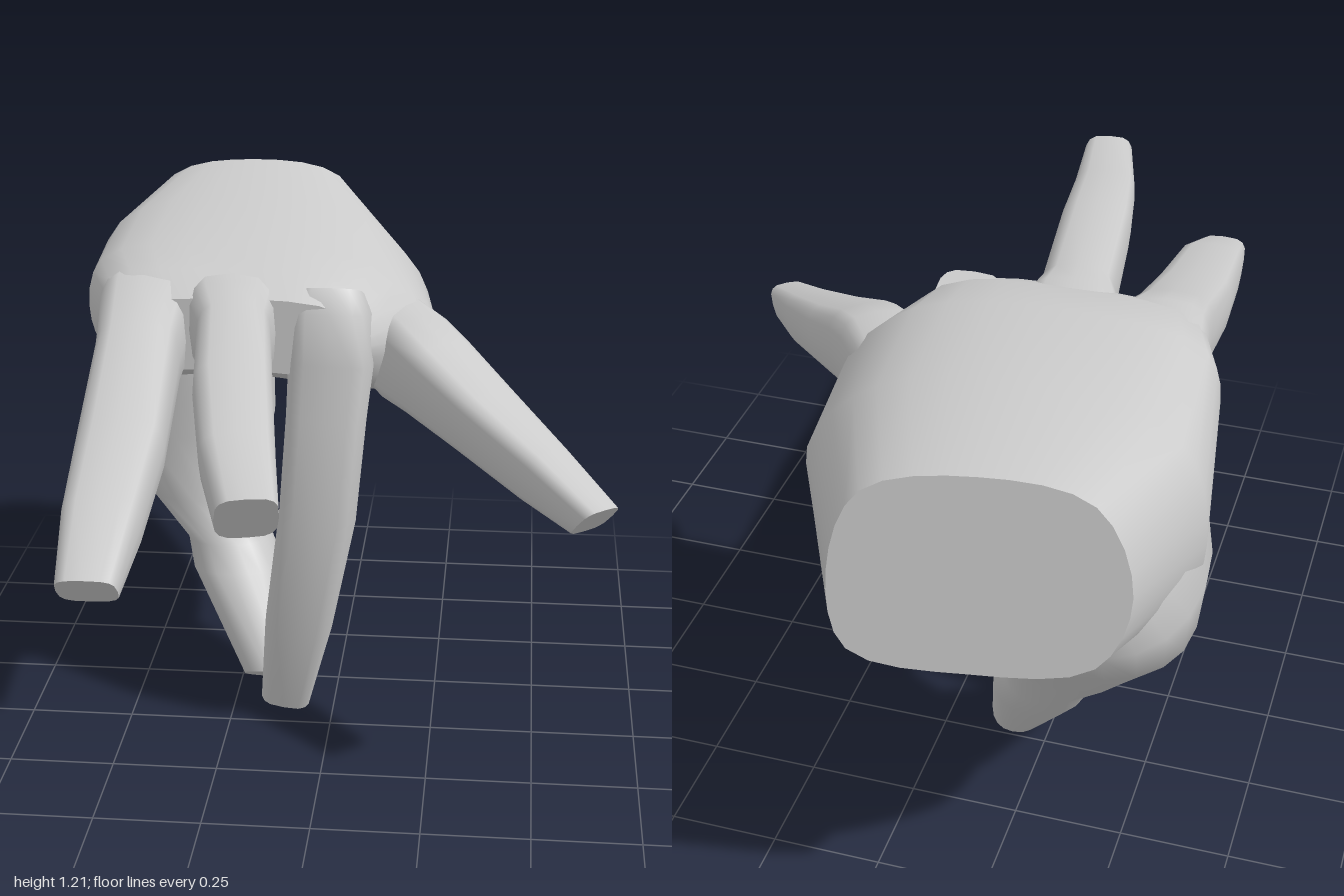
import * as THREE from 'three';

const V = (x, y, z) => new THREE.Vector3(x, y, z);
const material = new THREE.MeshStandardMaterial({ color: 0xcccccc });

// Skin a list of equal-length rings; end caps get their own vertices so their edges stay sharp.
function loft(name, rings) {
  const n = rings[0].length, pts = rings.flat(), index = [];
  for (let i = 0; i < rings.length - 1; i++) {
    for (let j = 0; j < n; j++) {
      const a = i * n + j, b = i * n + (j + 1) % n;
      index.push(a, b, a + n, b, b + n, a + n);
    }
  }
  for (const [ring, flip] of [[rings[0], true], [rings.at(-1), false]]) {
    const o = pts.length;
    pts.push(...ring);
    for (let j = 1; j < n - 1; j++) {
      index.push(o, flip ? o + j + 1 : o + j, flip ? o + j : o + j + 1);
    }
  }
  const g = new THREE.BufferGeometry().setFromPoints(pts);
  g.setIndex(index);
  g.computeVertexNormals();
  const mesh = new THREE.Mesh(g, material);
  mesh.name = name;
  return mesh;
}

// Point on a rounded square, for boxy round sections.
function rounded(k, n, power) {
  const a = (k / n) * Math.PI * 2, c = Math.cos(a), s = Math.sin(a);
  const f = (v) => Math.sign(v) * Math.abs(v) ** (2 / power);
  return [f(c), f(s)];
}

// Finger along stations [x, y, z, width, thickness]; the tip is cut on a slant.
function finger(name, stations, sideways) {
  const n = 16, centres = stations.map(([x, y, z]) => V(x, y, z));
  const rings = stations.map(([, , , w, h], i) => {
    const t = centres[Math.min(i + 1, centres.length - 1)].clone()
      .sub(centres[Math.max(i - 1, 0)]).normalize();
    const side = sideways.clone().addScaledVector(t, -sideways.dot(t)).normalize();
    const up = t.clone().cross(side);
    const slant = i === stations.length - 1 ? 0.5 : 0;
    return Array.from({ length: n }, (_, k) => {
      const [u, v] = rounded(k, n, 3.4);
      return centres[i].clone().addScaledVector(side, u * w / 2)
        .addScaledVector(up, v * h / 2).addScaledVector(t, v * h / 2 * slant);
    });
  });
  return loft(name, rings);
}

// Palm outlines from wrist to knuckles, eight points each, counterclockwise from the front.
function palm() {
  const wristZ = (x, y) => -0.93 - 0.14 * (x + 0.29) + 0.15 * (y - 1);
  const sections = [
    [wristZ, [[-0.58, 1], [-0.52, 0.84], [-0.28, 0.8], [-0.04, 0.83],
      [0, 1], [-0.06, 1.17], [-0.28, 1.22], [-0.5, 1.18]]],
    [() => -0.55, [[-0.655, 0.9], [-0.6, 0.75], [-0.2, 0.82], [0.16, 0.81],
      [0.2, 0.97], [0.04, 1.15], [-0.28, 1.21], [-0.59, 1.13]]],
    [() => -0.2, [[-0.6, 0.98], [-0.53, 0.87], [-0.15, 0.87], [0.21, 0.83],
      [0.25, 0.95], [0.08, 1.13], [-0.28, 1.185], [-0.57, 1.13]]],
    [() => -0.06, [[-0.55, 1.01], [-0.49, 0.91], [-0.2, 0.9], [0.08, 0.89],
      [0.14, 0.99], [0.06, 1.115], [-0.25, 1.155], [-0.52, 1.12]]],
    [() => 0.03, [[-0.5, 1.01], [-0.45, 0.95], [-0.2, 0.94], [0.02, 0.94],
      [0.07, 1], [0.03, 1.08], [-0.25, 1.11], [-0.47, 1.08]]],
  ];
  return loft('palm', sections.map(([zAt, outline]) => {
    const curve = new THREE.CatmullRomCurve3(
      outline.map(([x, y]) => V(x, y, zAt(x, y))), true, 'centripetal');
    return curve.getPoints(32).slice(0, 32);
  }));
}

// Thumb and its fleshy base: level sections [y, xMin, xMax, zMin, zMax, tilt].
function thumb() {
  const n = 20;
  const sections = [
    [0.93, -0.635, -0.2, -0.84, -0.22, 0],
    [0.8, -0.66, -0.2, -0.86, -0.24, 0],
    [0.65, -0.64, -0.19, -0.74, -0.27, 0],
    [0.48, -0.51, -0.23, -0.6, -0.27, 0],
    [0.36, -0.4, -0.19, -0.5, -0.24, 0.1],
    [0.29, -0.38, -0.15, -0.45, -0.19, 0.2],
    [0.05, -0.235, -0.1, -0.24, -0.1, 0.6],
  ];
  return loft('thumb', sections.map(([y, x0, x1, z0, z1, tilt]) =>
    Array.from({ length: n }, (_, k) => {
      const [u, v] = rounded(k, n, 2.3), dz = v * (z1 - z0) / 2;
      return V((x0 + x1) / 2 + u * (x1 - x0) / 2, y + dz * tilt, (z0 + z1) / 2 + dz);
    })));
}

export function createModel() {
  const hand = new THREE.Group();
  hand.name = 'hand';
  hand.add(palm(), thumb());

  // Each finger starts wide inside the palm so that its root flares out of the knuckle.
  hand.add(finger('indexFinger', [
    [-0.45, 1.02, -0.22, 0.24, 0.24],
    [-0.435, 1.025, -0.03, 0.215, 0.23],
    [-0.43, 0.985, 0.1, 0.19, 0.2],
    [-0.415, 0.885, 0.42, 0.19, 0.16],
    [-0.405, 0.825, 0.7, 0.165, 0.14],
    [-0.4, 0.765, 0.89, 0.125, 0.1],
  ], V(1, 0, 0)));

  hand.add(finger('middleFinger', [
    [-0.25, 1.05, -0.2, 0.24, 0.22],
    [-0.225, 1.035, 0, 0.21, 0.22],
    [-0.21, 1.025, 0.1, 0.17, 0.2],
    [-0.165, 1.03, 0.45, 0.17, 0.15],
    [-0.12, 0.985, 0.72, 0.155, 0.135],
    [-0.07, 0.965, 0.965, 0.125, 0.11],
  ], V(1, 0, 0)));

  // The ring finger bends straight down to meet the thumb.
  hand.add(finger('ringFinger', [
    [0, 1.1, -0.07, 0.15, 0.14],
    [0, 1.06, -0.05, 0.19, 0.19],
    [0, 0.95, -0.035, 0.2, 0.19],
    [-0.01, 0.82, -0.02, 0.19, 0.18],
    [-0.03, 0.57, 0, 0.185, 0.18],
    [-0.08, 0.27, -0.035, 0.165, 0.165],
    [-0.115, 0.06, -0.07, 0.125, 0.09],
  ], V(1, 0, 0)));

  hand.add(finger('littleFinger', [
    [0.1, 0.96, -0.26, 0.18, 0.2],
    [0.19, 0.935, -0.11, 0.19, 0.22],
    [0.25, 0.915, -0.03, 0.19, 0.19],
    [0.36, 0.86, 0.09, 0.17, 0.155],
    [0.5, 0.79, 0.245, 0.13, 0.13],
    [0.61, 0.74, 0.38, 0.1, 0.09],
  ], V(1, 0, -0.8)));

  return hand;
}
